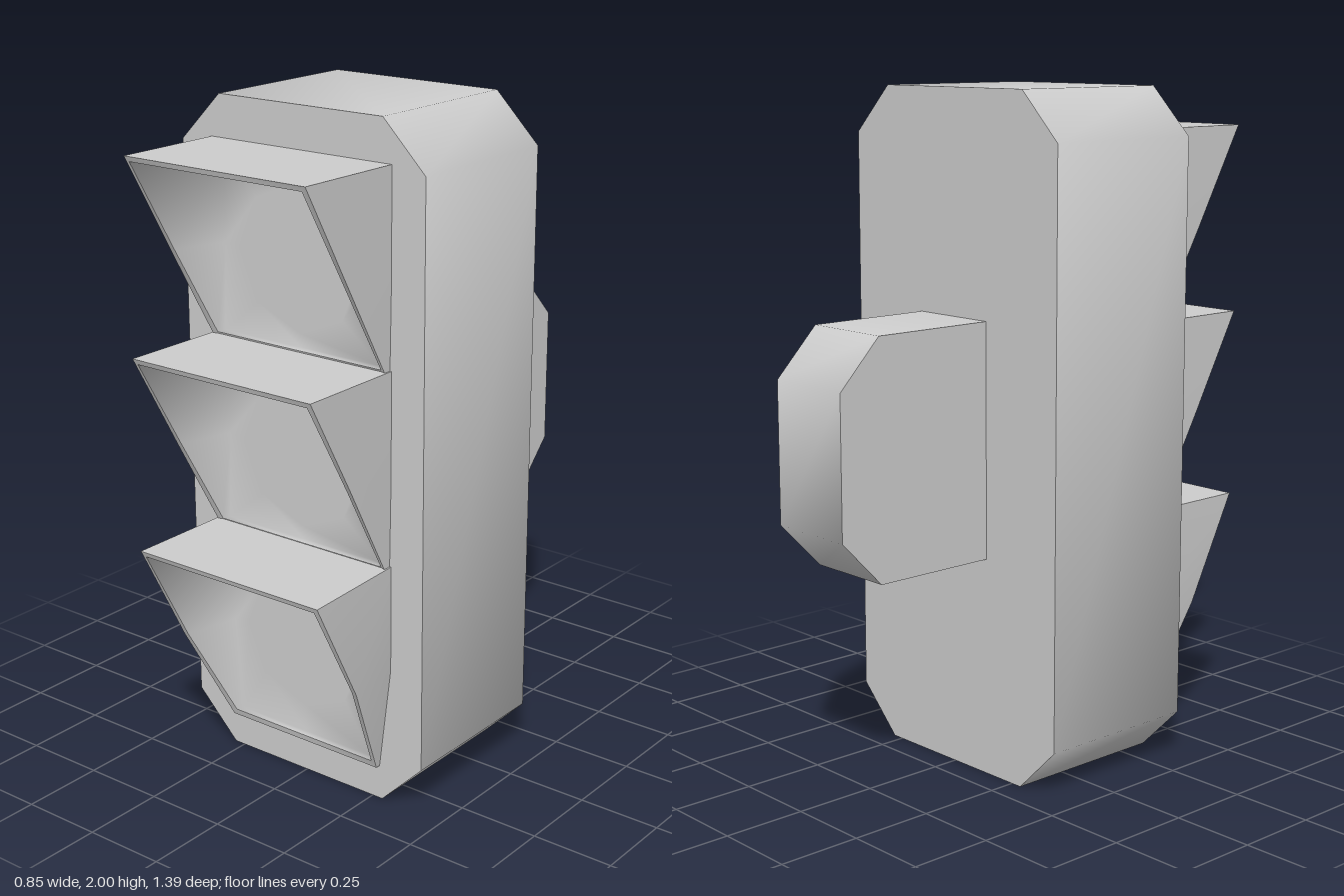
import * as THREE from 'three';
import { toCreasedNormals } from 'three/addons/utils/BufferGeometryUtils.js';

const grey = new THREE.MeshStandardMaterial({ color: 0xcccccc });
grey.name = 'light grey';

function mesh(name, geometry) {
  const m = new THREE.Mesh(geometry, grey);
  m.name = name;
  return m;
}

// Extruded outline, smooth over the chamfers and sharp at the caps
function prism(points, depth) {
  const shape = new THREE.Shape(points.map(([x, y]) => new THREE.Vector2(x, y)));
  const g = new THREE.ExtrudeGeometry(shape, { depth, bevelEnabled: false });
  return toCreasedNormals(g, 0.9);
}

// Skin joining closed eight-point loops, in order
function skin(loops) {
  const n = loops[0].length;
  const index = [];
  for (let k = 0; k < loops.length - 1; k++) {
    for (let i = 0; i < n; i++) {
      const j = (i + 1) % n;
      const a = k * n + i, b = k * n + j, c = a + n, d = b + n;
      index.push(a, c, d, a, d, b);
    }
  }
  const g = new THREE.BufferGeometry();
  g.setAttribute('position', new THREE.Float32BufferAttribute(loops.flat(2), 3));
  g.setIndex(index);
  g.computeVertexNormals();
  return g;
}

// Eight points round a rectangle that may narrow downwards; z runs from bottom to top
function frame(left, right, low, bottom, top, zBottom, zTop) {
  const y = (bottom + top) / 2, z = (zBottom + zTop) / 2;
  return [
    [right, y, z], [right, top, zTop], [0, top, zTop], [-left, top, zTop],
    [-left, y, z], [-low, bottom, zBottom], [0, bottom, zBottom], [low, bottom, zBottom],
  ];
}

// One signal: lens, smooth inner reflector and slanted hood
function signal(name, { y, top, bottom, low, right }) {
  const group = new THREE.Group();
  group.name = name;
  const r = 0.213, left = 0.315;

  const lens = mesh('lens', new THREE.CircleGeometry(r, 8));
  lens.position.set(0, y, 0.354);

  const rim = [];
  for (let i = 0; i < 8; i++) {
    const a = (i * Math.PI) / 4;
    rim.push([r * Math.cos(a), y + r * Math.sin(a), 0.354]);
  }
  const seat = frame(0.27, 0.27, low - 0.03, bottom + 0.025, top - 0.035, 0.354, 0.354);
  const innerLip = frame(left - 0.015, right - 0.015, low - 0.015, bottom + 0.02, top - 0.015, 0.37, 0.69);
  const outerLip = frame(left, right, low, bottom, top, 0.365, 0.695);
  const base = frame(left, 0.315, low, bottom, top, 0.35, 0.35);

  group.add(
    lens,
    mesh('reflector', skin([rim, seat, innerLip])),
    mesh('hood', toCreasedNormals(skin([innerLip, outerLip, base]), 0.9)),
  );
  return group;
}

export function createModel() {
  const model = new THREE.Group();
  model.name = 'signal light';

  // Housing with cut corners
  const w = 0.425, c = 0.285;
  const body = mesh('housing', prism([
    [-c, 0], [c, 0], [w, 0.14], [w, 1.86], [c, 2], [-c, 2], [-w, 1.86], [-w, 0.14],
  ], 0.52));
  body.position.z = -0.17;
  model.add(body);

  // Rear mounting bracket, outlined from the side and turned to face backwards
  const bracket = mesh('rearBracket', prism([
    [0.17, 0.655], [0.56, 0.655], [0.695, 0.795], [0.695, 1.21], [0.56, 1.35], [0.17, 1.35],
  ], 0.28));
  bracket.rotation.y = Math.PI / 2;
  bracket.position.x = -0.14;
  model.add(bracket);

  // Three signals
  model.add(
    signal('upperSignal', { y: 1.578, top: 1.878, bottom: 1.3, low: 0.31, right: 0.31 }),
    signal('middleSignal', { y: 1.003, top: 1.315, bottom: 0.725, low: 0.31, right: 0.318 }),
    signal('lowerSignal', { y: 0.43, top: 0.743, bottom: 0.105, low: 0.275, right: 0.333 }),
  );
  return model;
}
